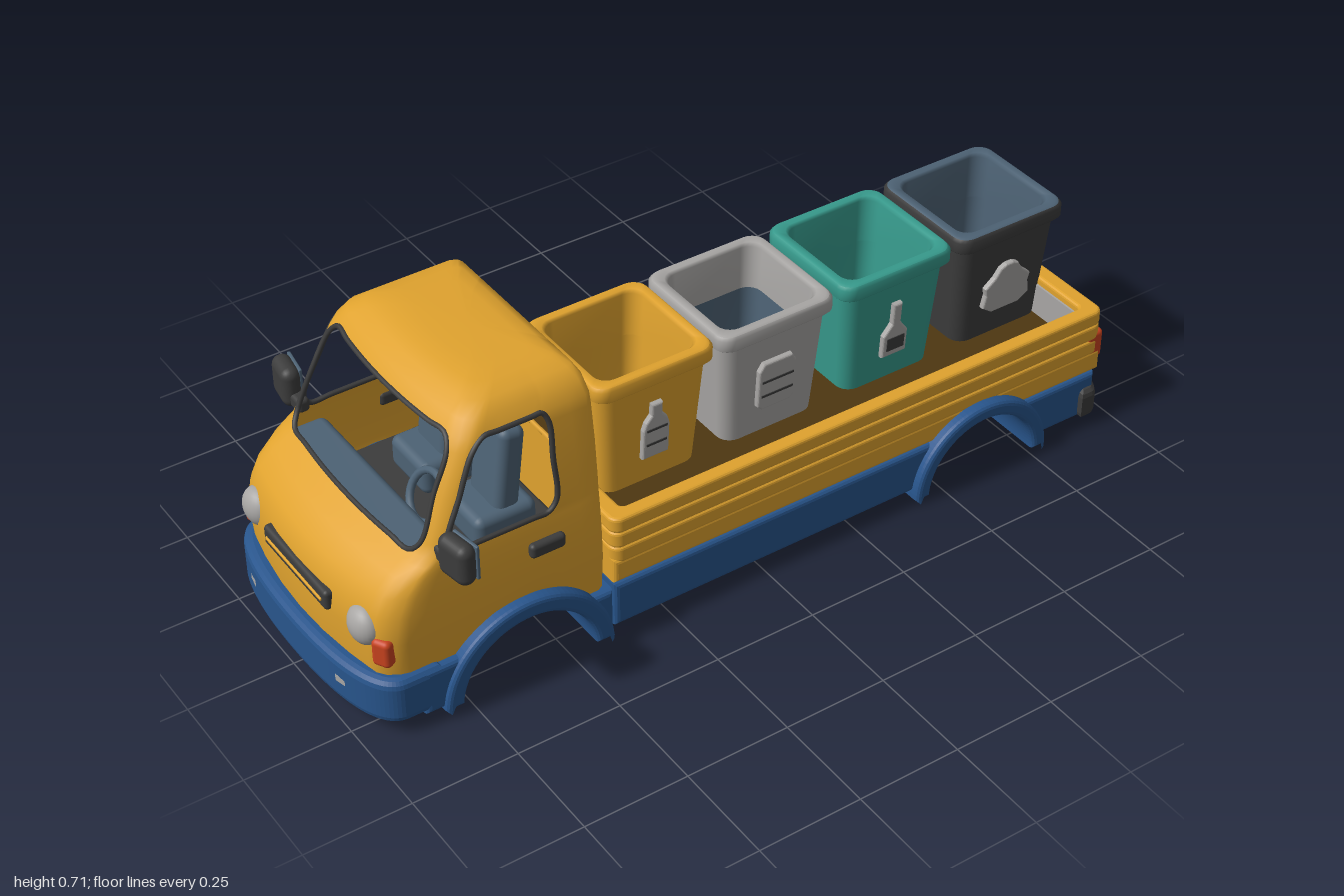
import * as THREE from 'three';
import { RoundedBoxGeometry } from 'three/addons/geometries/RoundedBoxGeometry.js';

const mat = (name, color) => {
  const m = new THREE.MeshStandardMaterial({ color, side: THREE.DoubleSide });
  m.name = name;
  return m;
};

// Skin a stack of closed rings; cell(i, j) may return 'abd' style corner lists to trim a quad
function loft(rings, cap = false, cell = () => 'abcacd') {
  const n = rings[0].length, pos = [], idx = [];
  rings.forEach(r => r.forEach(p => pos.push(p.x, p.y, p.z)));
  for (let i = 0; i < rings.length - 1; i++) for (let j = 0; j < n; j++) {
    const k = (j + 1) % n;
    const q = { a: i * n + j, b: i * n + k, c: (i + 1) * n + k, d: (i + 1) * n + j };
    for (const ch of cell(i, j)) idx.push(q[ch]);
  }
  if (cap) {
    const last = rings[rings.length - 1], base = (rings.length - 1) * n;
    const c = last.reduce((s, p) => s.add(p), new THREE.Vector3()).divideScalar(n);
    pos.push(c.x, c.y, c.z);
    for (let j = 0; j < n; j++) idx.push(base + j, base + (j + 1) % n, rings.length * n);
  }
  const g = new THREE.BufferGeometry();
  g.setAttribute('position', new THREE.Float32BufferAttribute(pos, 3));
  g.setIndex(idx);
  g.computeVertexNormals();
  return g;
}

// Bevelled extrusion that keeps its stated outline and thickness, centred on depth
function extrude(shape, depth, bevel) {
  const g = new THREE.ExtrudeGeometry(shape, {
    depth: depth - 2 * bevel, bevelSize: bevel, bevelThickness: bevel, bevelOffset: -bevel, bevelSegments: 3, curveSegments: 24,
  });
  return g.translate(0, 0, bevel - depth / 2);
}
const slab = (shape, y0, y1, bevel) => extrude(shape, y1 - y0, bevel).rotateX(-Math.PI / 2).translate(0, (y0 + y1) / 2, 0);

// Side outline with a wheel arch cut in the bottom and, optionally, swelling over the top
function archOutline(x0, x1, y0, y1, cx, rIn, rOut = 0) {
  const s = new THREE.Shape(), a = Math.asin(y0 / rIn);
  s.moveTo(x0, y1);
  s.lineTo(x0, y0);
  s.absarc(cx, 0, rIn, Math.PI - a, a, true);
  s.lineTo(x1, y0);
  s.lineTo(x1, y1);
  if (rOut > y1) {
    const b = Math.asin(y1 / rOut);
    s.absarc(cx, 0, rOut, b, Math.PI - b, false);
  }
  s.closePath();
  return s;
}

// Bumper seen from above: flat inner edge, curved outer edge; dir is -1 for front, 1 for rear
function bumperPlan(inner, shoulder, half, dir) {
  const s = new THREE.Shape();
  s.moveTo(dir * inner, -half);
  s.lineTo(dir * shoulder, -half);
  s.bezierCurveTo(dir * 0.97, -half, dir, -0.2, dir, 0);
  s.bezierCurveTo(dir, 0.2, dir * 0.97, half, dir * shoulder, half);
  s.lineTo(dir * inner, half);
  s.closePath();
  return s;
}

function roundRect(w, d, r, path = new THREE.Shape()) {
  path.absarc(w - r, d - r, r, 0, Math.PI / 2);
  path.absarc(r - w, d - r, r, Math.PI / 2, Math.PI);
  path.absarc(r - w, r - d, r, Math.PI, Math.PI * 1.5);
  path.absarc(w - r, r - d, r, Math.PI * 1.5, Math.PI * 2);
  path.closePath();
  return path;
}

// Rounded square ring for the bins
function squareRing(h, y, r = 0.035) {
  const pts = [];
  [[1, 1], [-1, 1], [-1, -1], [1, -1]].forEach(([sx, sz], q) => {
    for (let k = 0; k < 6; k++) {
      const a = (q + k / 5) * Math.PI / 2;
      pts.push(new THREE.Vector3(sx * (h - r) + r * Math.cos(a), y, -(sz * (h - r) + r * Math.sin(a))));
    }
  });
  return pts;
}

export function createModel() {
  const root = new THREE.Group();
  root.name = 'recyclingTruck';
  const yellow = mat('yellow', 0xdfa22e), blue = mat('blue', 0x28558c), dark = mat('charcoal', 0x3c3c3c);
  const slate = mat('slate', 0x4d6274), grey = mat('pale grey', 0xa8a6a4), teal = mat('teal', 0x379a8c);
  const red = mat('signal red', 0xc9431f), brown = mat('dark brown', 0x4e3711);
  const add = (name, geo, m, x = 0, y = 0, z = 0, parent = root) => {
    const mesh = new THREE.Mesh(geo, m);
    mesh.name = name;
    mesh.position.set(x, y, z);
    parent.add(mesh);
    return mesh;
  };
  const box = (name, m, w, h, d, x, y, z, r = 0.01, parent = root) =>
    add(name, new RoundedBoxGeometry(w, h, d, 3, r), m, x, y, z, parent);

  // Blue lower body with wheel arches
  const F = -0.61, R = 0.605;
  add('cabBase', extrude(archOutline(-0.86, -0.397, 0.015, 0.13, F, 0.165, 0.2), 0.65, 0.012), blue);
  add('bedBase', extrude(archOutline(-0.388, 0.95, 0.015, 0.13, R, 0.15, 0.185), 0.63, 0.012), blue);
  for (const [name, cx, ri, ro, y] of [['frontArch', F, 0.165, 0.21, 0.012], ['rearArch', R, 0.15, 0.19, 0]])
    add(name, extrude(archOutline(cx - ro, cx + ro, y, y + 0.001, cx, ri, ro), 0.675, 0.012), blue);
  add('frontBumper', slab(bumperPlan(0.81, 0.9, 0.325, -1), 0.02, 0.135, 0.02), blue);

  // Cab shell: each row is height, front x, back x, half width
  const rows = [
    [0.13, -0.97, -0.405, 0.305], [0.22, -0.975, -0.405, 0.312], [0.28, -0.965, -0.405, 0.31], [0.325, -0.945, -0.405, 0.307],
    [0.36, -0.905, -0.405, 0.304], [0.38, -0.868, -0.405, 0.302], [0.395, -0.848, -0.405, 0.3], [0.42, -0.832, -0.405, 0.299],
    [0.52, -0.792, -0.405, 0.29], [0.605, -0.751, -0.405, 0.278], [0.63, -0.737, -0.405, 0.272], [0.66, -0.715, -0.41, 0.255],
    [0.68, -0.685, -0.42, 0.228], [0.69, -0.65, -0.44, 0.19], [0.695, -0.61, -0.47, 0.14],
  ];
  const rings = rows.map(([y, xf, xb, w], i) => {
    const k = i < 4 ? 1.6 : i === 4 ? 1.3 : 1, half = [];
    const put = (x, f) => half.push([x, f * w]);
    for (const f of [0, 0.3, 0.6, 0.8, 0.87]) put(xf + 0.026 * k * f * f, f);
    put(xf + 0.028 * k, 0.93);
    put(xf + 0.042 * k, 0.98);
    for (const s of [0, 0.1, 0.3, 0.55, 0.8, 0.92, 1]) put(THREE.MathUtils.lerp(xf + 0.056 * k, -0.515, s), 1);
    put(-0.5 + (xb + 0.48) * 0.5, 1);
    put(xb - 0.018, 1);
    put(xb - 0.005, 0.975);
    for (const f of [0.92, 0.62, 0.58, 0.28, 0]) put(xb, f);
    const all = [...half, ...half.slice(1, -1).reverse().map(([x, z]) => [x, -z])];
    return all.map(([x, z]) => {
      const lift = i === 0 && Math.abs(z) > 0.29 ? Math.sqrt(Math.max(0, 0.19 ** 2 - (x - F) ** 2)) : 0;
      return new THREE.Vector3(x, Math.max(y, lift), z);
    });
  });
  const n = rings[0].length, v0 = 6, v1 = 10;
  const windows = { windscreen: [38, 8, dark], leftDoor: [7, 6, dark], rightDoor: [29, 6, dark], rear: [18, 6, yellow] };
  const cutWindows = (i, j) => {
    for (const [s, count] of Object.values(windows)) {
      const c = (j - s + n) % n;
      if (i < v0 || i >= v1 || c >= count) continue;
      const first = c === 0, last = c === count - 1;
      if (i === v0) return first ? 'abd' : last ? 'abc' : '';
      if (i === v1 - 1) return first ? 'acd' : last ? 'bcd' : '';
      return '';
    }
    return 'abcacd';
  };
  add('cabShell', loft(rings, true, cutWindows), yellow);
  for (const [name, [s, count, m]] of Object.entries(windows)) {
    const path = [], at = (i, j) => path.push(rings[i][(s + j) % n]);
    for (let j = 1; j < count; j++) at(v0, j);
    for (let i = v0 + 1; i < v1; i++) at(i, count);
    for (let j = count - 1; j > 0; j--) at(v1, j);
    for (let i = v1 - 1; i > v0; i--) at(i, 0);
    add(name + 'Frame', new THREE.TubeGeometry(new THREE.CatmullRomCurve3(path, true), 120, 0.006, 6, true), m);
  }

  // Cab interior
  box('cabFloor', dark, 0.4, 0.03, 0.56, -0.63, 0.225, 0);
  box('dashboard', slate, 0.11, 0.12, 0.54, -0.8, 0.32, 0, 0.02);
  for (const z of [-0.12, 0.1]) {
    box('seatCushion', slate, 0.15, 0.08, 0.15, -0.56, 0.28, z, 0.02);
    box('seatBack', slate, 0.06, 0.26, 0.12, -0.54, 0.38, z, 0.02).rotation.z = -0.12;
  }
  const wheel = add('steeringWheel', new THREE.TorusGeometry(0.055, 0.009, 8, 24), slate, -0.72, 0.4, 0.12);
  wheel.rotation.set(0, Math.PI / 2, 0);
  wheel.rotateX(0.5);

  // Front lights, grille, mirrors and handles
  box('grille', dark, 0.03, 0.05, 0.27, -0.962, 0.245, 0);
  box('grilleBar', yellow, 0.03, 0.008, 0.24, -0.966, 0.245, 0, 0.003);
  for (const s of [1, -1]) {
    const lamp = add('headlight', new THREE.SphereGeometry(0.046, 24, 16), grey, -0.937, 0.24, s * 0.228);
    lamp.scale.set(0.75, 1, 1);
    const ind = box('frontIndicator', red, 0.045, 0.068, 0.045, -0.922, 0.2, s * 0.28, 0.012);
    ind.rotation.y = s * 0.5;
    box('fogLight', grey, 0.02, 0.025, 0.04, -0.977, 0.08, s * 0.19, 0.006).rotation.y = s * 0.2;
    box('mirrorBody', dark, 0.045, 0.098, 0.09, -0.785, 0.43, s * 0.356, 0.022).rotation.y = s * 0.15;
    box('mirrorGlass', slate, 0.008, 0.085, 0.076, -0.763, 0.43, s * 0.356, 0.003).rotation.y = s * 0.15;
    box('mirrorArm', dark, 0.03, 0.035, 0.05, -0.785, 0.405, s * 0.305);
    box('doorHandle', dark, 0.085, 0.035, 0.022, -0.55, 0.322, s * 0.312, 0.01);
    box('tailLight', red, 0.05, 0.078, 0.072, 0.947, 0.202, s * 0.273, 0.012);
  }

  // Cargo bed with ribbed walls
  add('bedSill', extrude(archOutline(-0.385, 0.965, 0.13, 0.19, R, 0.165), 0.62, 0.01), yellow);
  for (const [y0, y1] of [[0.18, 0.222], [0.22, 0.262], [0.26, 0.3]]) {
    const ring = roundRect(0.675, 0.31, 0.025);
    ring.holes.push(roundRect(0.632, 0.272, 0.012, new THREE.Path()));
    add('bedWall', slab(ring, y0, y1, 0.008), yellow, 0.29);
  }
  add('bedFloor', new THREE.BoxGeometry(1.29, 0.02, 0.57), brown, 0.29, 0.19, 0);
  add('tailgateLining', new THREE.BoxGeometry(0.006, 0.08, 0.52), grey, 0.92, 0.24, 0);
  add('rearBumper', slab(bumperPlan(0.905, 0.935, 0.33, 1), 0.012, 0.096, 0.02), dark);
  box('rearPlate', blue, 0.008, 0.038, 0.17, 0.995, 0.075, 0, 0.003);

  // Waste symbols, half outlines mirrored about the middle
  const outlines = {
    bottle: [[0.034, 0], [0.034, 0.08], [0.028, 0.1], [0.014, 0.118], [0.014, 0.148]],
    can: [[0.038, 0], [0.05, 0.012], [0.05, 0.11], [0.038, 0.13]],
    flask: [[0.034, 0], [0.034, 0.06], [0.012, 0.09], [0.012, 0.145]],
    paper: [[0.04, 0], [0.068, 0.02], [0.062, 0.055], [0.066, 0.075], [0.04, 0.098], [0.026, 0.12], [0.01, 0.128]],
  };
  const symbol = {};
  for (const [k, p] of Object.entries(outlines)) {
    const pts = [...p, ...p.slice().reverse().map(([x, y]) => [-x, y])].map(q => new THREE.Vector2(...q));
    symbol[k] = extrude(new THREE.Shape(pts), 0.022, 0.005);
  }

  // Four open bins: outside, upper lining, lower lining, floor, symbol
  const bins = [
    ['yellowBin', -0.165, yellow, yellow, yellow, yellow, 'bottle'], ['greyBin', 0.155, grey, grey, slate, dark, 'can'],
    ['tealBin', 0.485, teal, teal, teal, dark, 'flask'], ['charcoalBin', 0.81, dark, slate, slate, dark, 'paper'],
  ];
  for (const [name, x, outer, upper, lower, floor, kind] of bins) {
    const bin = new THREE.Group();
    bin.name = name;
    bin.position.x = x;
    root.add(bin);
    const part = (label, m, levels, cap) =>
      add(label, loft(levels.map(([h, y]) => squareRing(h, y)), cap), m, 0, 0, 0, bin);
    part('binBody', outer, [[0.123, 0.2], [0.142, 0.475]]);
    part('binRim', outer, [[0.138, 0.468], [0.15, 0.47], [0.155, 0.476], [0.155, 0.502], [0.15, 0.509]]);
    part('binUpperLining', upper, [[0.15, 0.509], [0.145, 0.512], [0.13, 0.511], [0.124, 0.504], [0.117, 0.4]]);
    part('binLowerLining', lower, [[0.117, 0.4], [0.104, 0.225]]);
    part('binFloor', floor, [[0.105, 0.225], [0.05, 0.225]], true);
    for (const turn of [0, Math.PI]) {
      const side = new THREE.Group();
      side.name = 'binSymbol';
      side.position.set(0, 0.27, 0.13 * Math.cos(turn));
      side.rotation.set(0.069 * Math.cos(turn), turn, 0);
      bin.add(side);
      const inverted = turn > 0 && (kind === 'flask' || kind === 'can');
      const [fill, mark] = inverted ? [dark, grey] : [grey, dark];
      add(kind + 'Symbol', symbol[kind], fill, 0, 0, 0, side);
      if (kind === 'can' || kind === 'bottle') for (const h of [0.04, 0.08])
        add('symbolBand', new THREE.BoxGeometry(kind === 'can' ? 0.084 : 0.052, 0.006, 0.006), mark, 0, h, 0.01, side);
      if (kind === 'flask') add('symbolLabel', new THREE.BoxGeometry(0.048, 0.035, 0.006), mark, 0, 0.035, 0.01, side);
    }
  }
  add('bottleShard', new THREE.CylinderGeometry(0.032, 0.032, 0.006, 7), teal, 0.47, 0.23, 0.01);
  return root;
}
